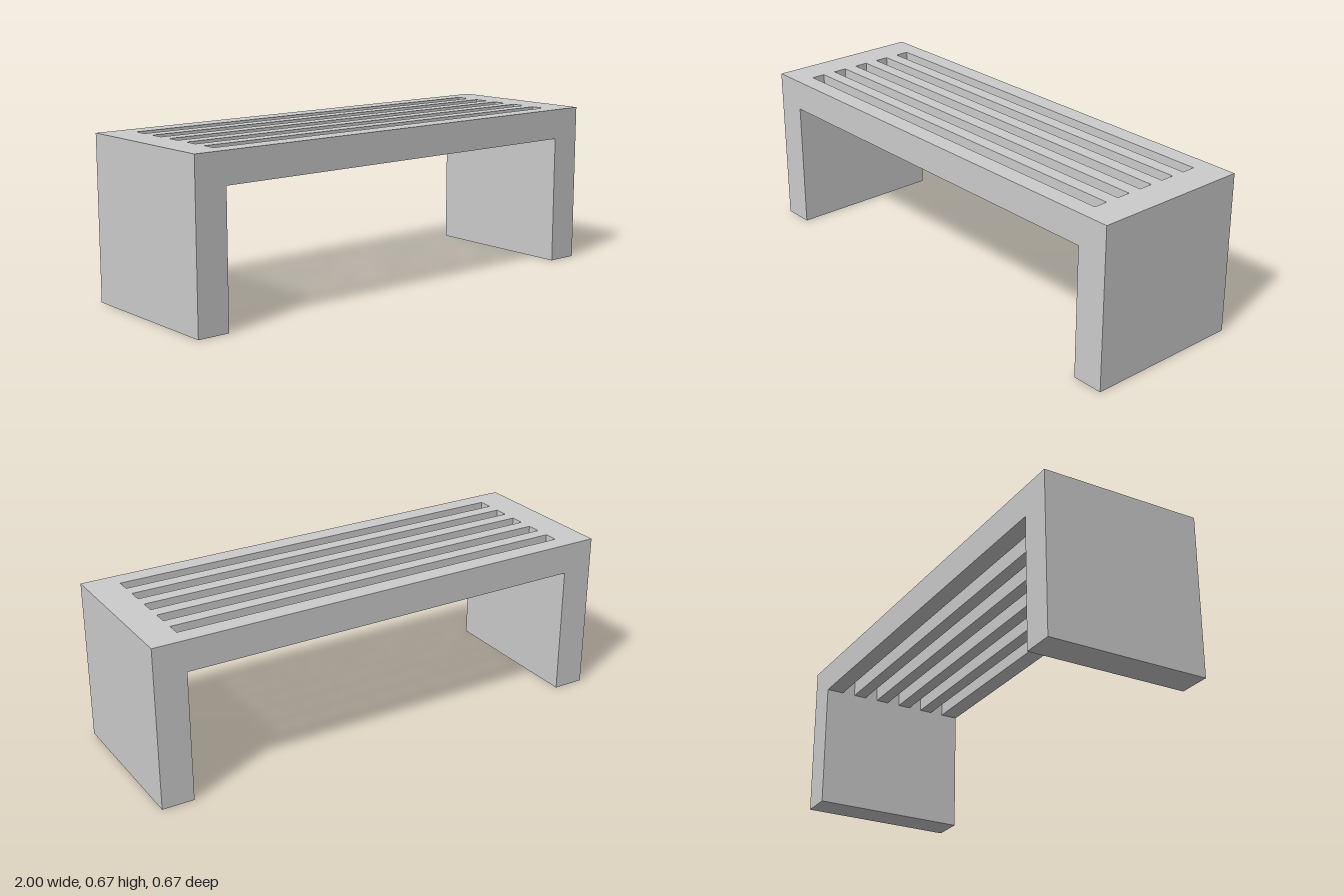
import * as THREE from 'three';

const LENGTH = 2, HEIGHT = 0.667, DEPTH = 0.667;
const LEG = 0.133;            // thickness of the end panels
const SEAT = 0.127;           // thickness of the seat slats
const SLOTS = 5, SLOT_WIDTH = 0.058, PITCH = 0.1145;

export function createModel() {
  const bench = new THREE.Group();
  bench.name = 'slattedBench';
  const material = new THREE.MeshStandardMaterial({ color: 0xcccccc, flatShading: true });

  const addBox = (name, w, h, d, x, y, z) => {
    const mesh = new THREE.Mesh(new THREE.BoxGeometry(w, h, d), material);
    mesh.name = name;
    mesh.position.set(x, y, z);
    bench.add(mesh);
  };

  // Solid end panels, full height and depth
  for (const [name, side] of [['leftLeg', 1], ['rightLeg', -1]]) {
    addBox(name, LEG, HEIGHT, DEPTH, side * (LENGTH - LEG) / 2, HEIGHT / 2, 0);
  }

  // Seat slats between the panels; the outer two are wider rails
  const slotCentre = (i) => (i - (SLOTS - 1) / 2) * PITCH;
  for (let i = 0; i <= SLOTS; i++) {
    const back = i === 0 ? -DEPTH / 2 : slotCentre(i - 1) + SLOT_WIDTH / 2;
    const front = i === SLOTS ? DEPTH / 2 : slotCentre(i) - SLOT_WIDTH / 2;
    const name = i === 0 ? 'backRail' : i === SLOTS ? 'frontRail' : `seatSlat${i}`;
    addBox(name, LENGTH - 2 * LEG, SEAT, front - back, 0, HEIGHT - SEAT / 2, (front + back) / 2);
  }

  return bench;
}
